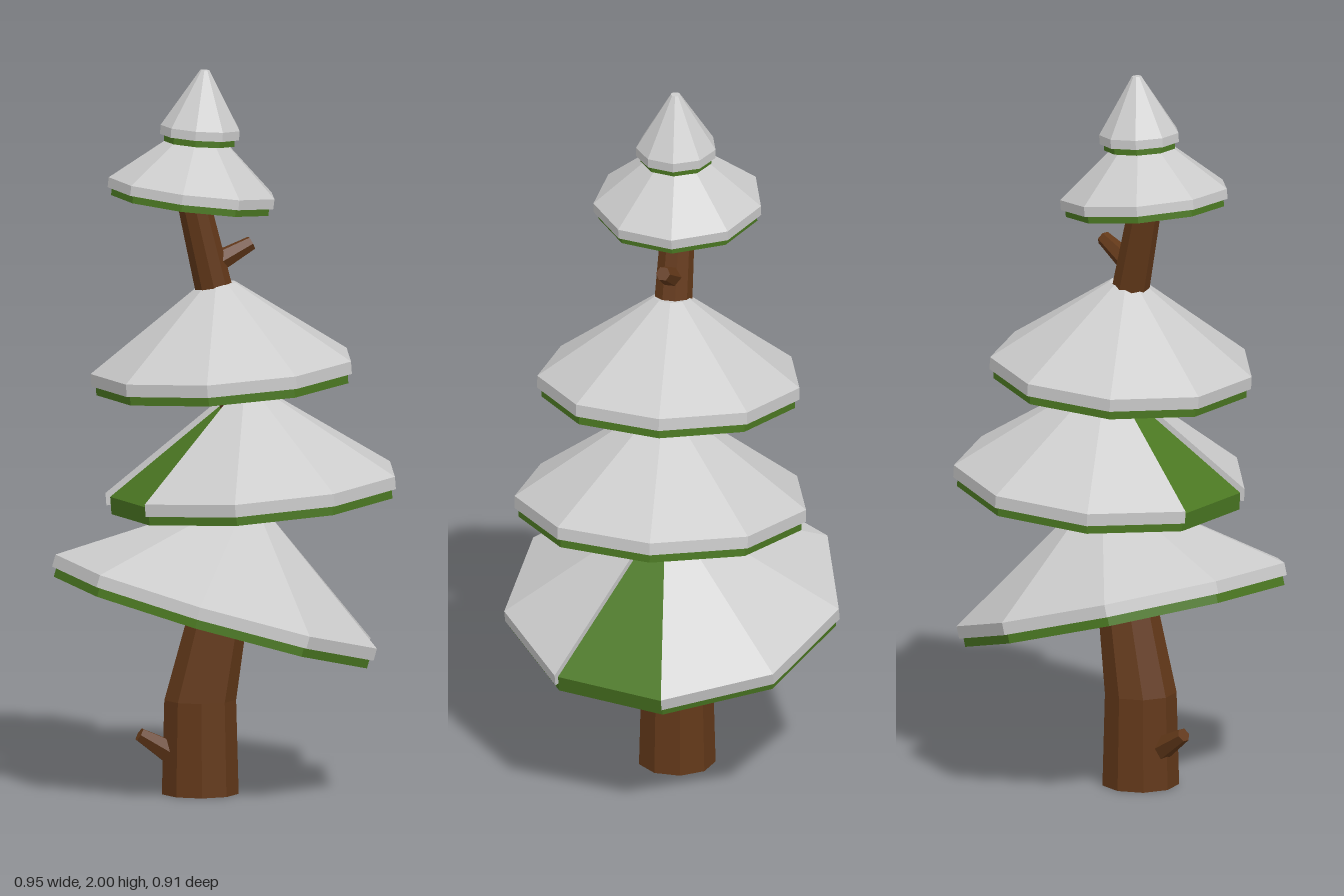
import * as THREE from 'three';

const SIDES = 9;
const STEP = (Math.PI * 2) / SIDES;
const deg = THREE.MathUtils.degToRad;
const CZ = 0.022; // depth position of the trunk axis

const mat = (color, side = THREE.FrontSide) =>
  new THREE.MeshStandardMaterial({ color, flatShading: true, side });
const snowMat = mat(0xcccccc, THREE.DoubleSide);
const leafMat = mat(0x4b7822);
const barkMat = mat(0x623819);

function mesh(name, geometry, material) {
  const m = new THREE.Mesh(geometry, material);
  m.name = name;
  return m;
}

const points = (list) => list.map(([r, y]) => new THREE.Vector2(r, y));

// One branch tier: a green faceted cone under a snow shell.
// gap = true leaves one snow panel out, starting from angle "start".
function tier({ x, y, z = CZ, R, top, H, tilt, t = 0.03, start = 100, gap = false }) {
  const g = new THREE.Group();
  g.name = 'branchTier';
  const a = deg(start);
  const inset = 0.012;

  const leaves = points([[0, 0], [R - inset, 0], [R - inset, t * 1.6], [top * 0.85, H - 0.012], [0, H - 0.012]]);
  g.add(mesh('greenBranches', new THREE.LatheGeometry(leaves, SIDES, a), leafMat));

  const shell = points([[R - inset, t * 0.85], [R, t * 0.85], [R, t * 2], [top, H], [0, H]]);
  const segments = gap ? SIDES - 1 : SIDES;
  g.add(mesh('snowCover', new THREE.LatheGeometry(shell, segments, a, segments * STEP), snowMat));

  // close the cut ends of the snow beside the missing panel
  if (gap) {
    const section = new THREE.Shape([...shell, ...leaves.slice(2).reverse()]);
    for (const phi of [a, a + segments * STEP]) {
      const end = mesh('snowEdge', new THREE.ShapeGeometry(section), snowMat);
      end.rotation.y = phi - Math.PI / 2;
      g.add(end);
    }
  }
  g.position.set(x, y, z);
  g.rotation.z = deg(tilt);
  return g;
}

// Crooked trunk: rows of a cylinder moved to [centre x, y, radius]
function trunk() {
  const rows = [
    [-0.073, 0, 0.107], [-0.073, 0.26, 0.1], [-0.022, 0.5, 0.083], [0.082, 0.8, 0.058],
    [0.038, 1.1, 0.06], [-0.035, 1.4, 0.053], [-0.087, 1.62, 0.047], [-0.075, 1.84, 0.035],
  ];
  const n = rows.length - 1;
  const geo = new THREE.CylinderGeometry(1, 1, 1, SIDES, n, false, deg(70));
  const p = geo.attributes.position;
  for (let i = 0; i < p.count; i++) {
    const [cx, y, r] = rows[Math.round((p.getY(i) + 0.5) * n)];
    p.setXYZ(i, cx + p.getX(i) * r, y, CZ + p.getZ(i) * r);
  }
  geo.computeVertexNormals();
  return mesh('trunk', geo, barkMat);
}

// Broken branch stub between two points in the front plane
function stub(from, to, r0, r1) {
  const a = new THREE.Vector3(...from, CZ);
  const b = new THREE.Vector3(...to, CZ);
  const dir = b.clone().sub(a);
  const m = mesh('branchStub', new THREE.CylinderGeometry(r1, r0, dir.length(), 6), barkMat);
  m.position.copy(a).add(b).multiplyScalar(0.5);
  m.quaternion.setFromUnitVectors(new THREE.Vector3(0, 1, 0), dir.normalize());
  return m;
}

export function createModel() {
  const tree = new THREE.Group();
  tree.name = 'snowyTree';

  tree.add(trunk());
  tree.add(stub([-0.13, 0.1], [-0.243, 0.168], 0.04, 0.02));
  tree.add(stub([-0.06, 1.45], [0.072, 1.518], 0.035, 0.02));

  // tiers from the bottom up
  [
    { x: -0.033, y: 0.473, z: 0.015, R: 0.468, top: 0.06, H: 0.33, tilt: -16.3, gap: true },
    { x: 0.082, y: 0.8, R: 0.407, top: 0.058, H: 0.305, tilt: 4.5, start: 300, gap: true },
    { x: -0.002, y: 1.125, R: 0.366, top: 0.05, H: 0.285, tilt: 4 },
    { x: -0.097, y: 1.63, R: 0.234, top: 0.035, H: 0.215, tilt: -7, t: 0.024 },
    { x: -0.073, y: 1.798, R: 0.111, top: 0.013, H: 0.202, tilt: -4, t: 0.022 },
  ].forEach((options) => tree.add(tier(options)));

  return tree;
}
